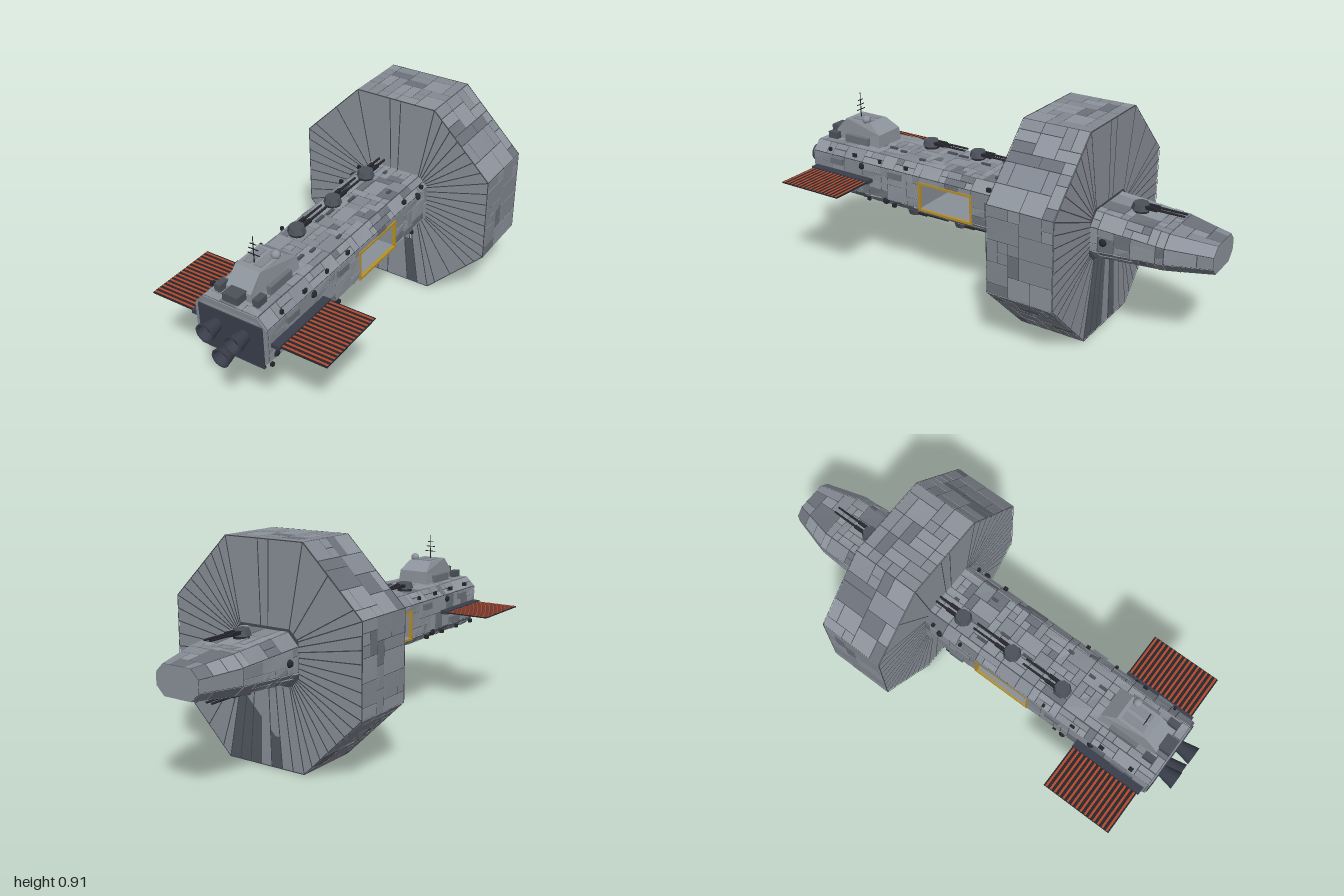
import * as THREE from 'three';

const mat = (name, color, side = THREE.FrontSide) => {
  const m = new THREE.MeshStandardMaterial({ color, side, flatShading: true });
  m.name = name;
  return m;
};
const V = (x, y, z) => new THREE.Vector3(x, y, z);
const lerp = (a, b, t) => a.clone().lerp(b, t);

export function createModel() {
  const model = new THREE.Group();
  model.name = 'spaceship';
  const M = {
    light: mat('light plating', 0x8e949d),
    mid: mat('mid plating', 0x848a93),
    dark: mat('dark plating', 0x6d727b),
    seam: mat('seam grey', 0x43474f, THREE.DoubleSide),
    disc: mat('disc grey', 0x8b9199, THREE.DoubleSide),
    gun: mat('gunmetal', 0x4d525b),
    engine: mat('engine blue grey', 0x3a3f4c, THREE.DoubleSide),
    black: mat('near black', 0x25272d),
    orange: mat('solar orange', 0xb8492a),
    yellow: mat('hangar yellow', 0xb8922a),
  };
  let seed = 11;
  const rnd = () => (seed = (seed * 16807) % 2147483647) / 2147483647;

  const add = (name, geo, m, x = 0, y = 0, z = 0, parent = model) => {
    const mesh = new THREE.Mesh(geo, m);
    mesh.name = name;
    mesh.position.set(x, y, z);
    parent.add(mesh);
    return mesh;
  };
  const box = (name, w, h, d, m, x, y, z, parent) => add(name, new THREE.BoxGeometry(w, h, d), m, x, y, z, parent);

  // Triangle collector for quads
  const quad = (out, a, b, c, d) => { for (const p of [a, b, c, a, c, d]) out.push(p.x, p.y, p.z); };
  const soup = (name, pos, m) => {
    const g = new THREE.BufferGeometry();
    g.setAttribute('position', new THREE.Float32BufferAttribute(pos, 3));
    g.computeVertexNormals();
    return add(name, g, m);
  };

  // Covers a quad with raised plates of random size, leaving seams between them
  const plates = (tones, a, b, c, d, cell = 0.036, maxH = 0.005) => {
    const lu = a.distanceTo(b), lv = a.distanceTo(d);
    const nu = Math.max(1, Math.round(lu / cell)), nv = Math.max(1, Math.round(lv / cell));
    const n = lerp(b, c, 0.5).sub(a).cross(lerp(d, c, 0.5).sub(a)).normalize();
    const used = new Set();
    const at = (u, v) => lerp(lerp(a, b, u), lerp(d, c, u), v);
    for (let j = 0; j < nv; j++) for (let i = 0; i < nu; i++) {
      if (used.has(i + j * nu)) continue;
      let w = 1;
      const want = 1 + Math.floor(rnd() * 3), h = Math.min(nv - j, 1 + Math.floor(rnd() * 2));
      while (w < want && i + w < nu && !used.has(i + w + j * nu)) w++;
      for (let q = 0; q < h; q++) for (let p = 0; p < w; p++) used.add(i + p + (j + q) * nu);
      const gu = 0.0017 / lu, gv = 0.0017 / lv, r = rnd();
      const u0 = i / nu + gu, u1 = (i + w) / nu - gu, v0 = j / nv + gv, v1 = (j + h) / nv - gv;
      const low = [at(u0, v0), at(u1, v0), at(u1, v1), at(u0, v1)];
      const up = low.map((p) => p.clone().addScaledVector(n, 0.0015 + rnd() * rnd() * maxH));
      const out = tones[r < 0.5 ? 0 : r < 0.87 ? 1 : 2];
      quad(out, ...up);
      for (let k = 0; k < 4; k++) quad(out, low[k], low[(k + 1) % 4], up[(k + 1) % 4], up[k]);
    }
  };
  const platesDone = (name, t) => ['light', 'mid', 'dark'].forEach((k, i) => soup(name + ' ' + k, t[i], M[k]));

  // Eight-sided cross-section with cut corners, starting at the lower +x corner
  const section = (z, hx, y0, y1, c, cy = c) => [
    V(hx, y0 + cy, z), V(hx, y1 - cy, z), V(hx - c, y1, z), V(-hx + c, y1, z),
    V(-hx, y1 - cy, z), V(-hx, y0 + cy, z), V(-hx + c, y0, z), V(hx - c, y0, z)];
  const sideQuad = (f, b, i) => [f[i], b[i], b[(i + 1) % 8], f[(i + 1) % 8]];
  const cap = (out, s, flip) => {
    for (let i = 1; i < 7; i++) for (const p of flip ? [s[0], s[i + 1], s[i]] : [s[0], s[i], s[i + 1]]) out.push(p.x, p.y, p.z);
  };

  // Hull, with an open hangar through the middle and a tapering nose
  const body = (z) => section(z, 0.163, 0.345, 0.575, 0.042);
  const secs = [body(0.92), body(0.32), body(0.05), body(-0.51),
    section(-0.511, 0.16, 0.362, 0.562, 0.05), section(-0.82, 0.15, 0.385, 0.54, 0.045), section(-1, 0.1, 0.402, 0.52, 0.035)];
  const shell = [], hullTones = [[], [], []], noseCap = [];
  const holeLow = 0.387, holeHigh = 0.505;
  for (let s = 0; s < secs.length - 1; s++) for (let i = 0; i < 8; i++) {
    const q = sideQuad(secs[s], secs[s + 1], i);
    if (s === 1 && i % 4 === 0) q.forEach((p, k) => { q[k] = p.clone(); if (p.y < 0.46) q[k].y = holeHigh; });
    quad(shell, ...q);
    if (s !== 3) plates(hullTones, ...q, s === 5 ? 0.06 : 0.036, s === 5 ? 0.001 : 0.006);
  }
  cap(shell, secs[0], false);
  cap(noseCap, secs[6], true);
  soup('hull shell', shell, M.seam);
  platesDone('hull plating', hullTones);
  soup('nose cap', noseCap, M.light);

  // Hangar lining and yellow frames
  const lining = [];
  const hx = 0.16;
  for (const y of [holeLow, holeHigh]) quad(lining, V(-hx, y, 0.32), V(hx, y, 0.32), V(hx, y, 0.05), V(-hx, y, 0.05));
  for (const z of [0.05, 0.32]) quad(lining, V(-hx, holeLow, z), V(hx, holeLow, z), V(hx, holeHigh, z), V(-hx, holeHigh, z));
  soup('hangar lining', lining, M.disc);
  for (const s of [-1, 1]) {
    const x = s * (s > 0 ? 0.163 : 0.16);
    for (const y of [0.382, 0.507]) box('hangar frame rail', 0.014, 0.01, 0.28, M.yellow, x, y, 0.185);
    for (const z of [0.05, 0.32]) box('hangar frame post', 0.014, 0.13, 0.009, M.yellow, x, 0.445, z);
  }

  // Octagonal ring: plated rim, panelled discs with ribs
  const ring = (z) => section(z, 0.452, 0.008, 0.912, 0.265);
  const ringF = ring(-0.222), ringB = ring(-0.513);
  const rim = [], rimTones = [[], [], []], discs = [], ribs = [];
  for (let i = 0; i < 8; i++) {
    const q = sideQuad(ringF, ringB, i);
    quad(rim, ...q);
    plates(rimTones, ...q, 0.045, 0.002);
  }
  soup('ring rim', rim, M.seam);
  platesDone('ring plating', rimTones);
  const strip = (a, b, w, z) => {
    const n = V(b.y - a.y, a.x - b.x, 0).normalize().multiplyScalar(w / 2);
    const p = [a.clone().add(n), b.clone().add(n), b.clone().sub(n), a.clone().sub(n)];
    p.forEach((v) => { v.z = z; });
    quad(ribs, ...p);
  };
  const skipRib = { 2: [1, 2, 5, 6], 3: [1, 2, 4, 5], 7: [2, 4], 6: [4] };
  [[ringF, 1, [5]], [ringB, -1, [2, 4, 5, 6]]].forEach(([outer, dir, gaps]) => {
    const z = outer[0].z, inner = body(z);
    for (let i = 0; i < 8; i++) {
      const j = (i + 1) % 8;
      for (let k = 0; k < 7; k++) {
        const t0 = k / 7, t1 = (k + 1) / 7;
        const a = lerp(inner[i], inner[j], t0), b = lerp(outer[i], outer[j], t0);
        if (!(i === 6 && gaps.includes(k))) quad(discs, a, b, lerp(outer[i], outer[j], t1), lerp(inner[i], inner[j], t1));
        if (!(skipRib[i] || []).includes(k)) strip(a, b, 0.0045, z + dir * 0.003);
      }
      strip(outer[i], outer[j], 0.004, z + dir * 0.003);
    }
  });
  soup('ring disc panels', discs, M.disc);
  soup('ring ribs', ribs, M.seam);

  // Engine plate and three bells
  box('stern collar', 0.25, 0.2, 0.008, M.light, 0, 0.455, 0.922);
  const collar = new THREE.Shape(section(0, 0.163, 0.345, 0.575, 0.042).map((p) => new THREE.Vector2(p.x, p.y)));
  add('stern frame', new THREE.ExtrudeGeometry(collar, { depth: 0.006, bevelEnabled: false }), M.mid, 0, 0, 0.92);
  box('engine plate', 0.292, 0.187, 0.01, M.engine, 0, 0.447, 0.926);
  const bell = [[0.026, 0], [0.03, 0.02], [0.04, 0.07], [0.033, 0.07], [0.026, 0.035]].map(([r, y]) => new THREE.Vector2(r, y));
  for (const [x, y] of [[-0.065, 0.476], [0.062, 0.476], [0, 0.388]]) {
    add('engine bell', new THREE.LatheGeometry(bell, 20), M.engine, x, y, 0.93).rotation.x = Math.PI / 2;
    add('engine throat', new THREE.CircleGeometry(0.028, 20), M.black, x, y, 0.962);
  }

  // Bridge tower: side profile extruded and narrowed toward the roof
  const prof = [[0.87, 0.57], [0.87, 0.615], [0.81, 0.677], [0.67, 0.677], [0.61, 0.635], [0.605, 0.57]];
  const tower = new THREE.ExtrudeGeometry(new THREE.Shape(prof.map(([z, y]) => new THREE.Vector2(z, y))), { depth: 0.16, bevelEnabled: false });
  tower.translate(0, 0, -0.08).rotateY(-Math.PI / 2);
  const tp = tower.attributes.position;
  for (let i = 0; i < tp.count; i++) {
    const y = tp.getY(i), z = tp.getZ(i);
    tp.setX(i, tp.getX(i) * (1 - Math.max(0, y - 0.61) * 4.5) * (z > 0.85 ? 0.72 : 1));
  }
  tower.computeVertexNormals();
  add('bridge tower', tower, M.light);
  for (const s of [-1, 1]) {
    box('bridge side block', 0.02, 0.035, 0.13, M.dark, s * 0.079, 0.595, 0.73);
    box('bridge roof plate', 0.034, 0.004, 0.1, M.mid, s * 0.025, 0.678, 0.735);
    box('stern housing', 0.028, 0.03, 0.05, M.gun, s * 0.087, 0.598, 0.86);
  }
  box('bridge window', 0.07, 0.008, 0.004, M.black, 0, 0.604, 0.87);
  box('stern turret', 0.07, 0.033, 0.06, M.gun, 0, 0.605, 0.89);
  add('radar dome', new THREE.SphereGeometry(0.019, 16, 12), M.light, 0.045, 0.687, 0.7);
  add('antenna mast', new THREE.CylinderGeometry(0.0015, 0.0025, 0.115, 6), M.black, 0, 0.733, 0.77);
  [[0.757, 0.03], [0.735, 0.045], [0.712, 0.055]].forEach(([y, w]) => box('antenna bar', w, 0.003, 0.003, M.black, 0, y, 0.77));

  // Twin-barrel turrets, dir = 1 above the hull and -1 below
  const turret = (x, y, z, dir, k = 1) => {
    const g = new THREE.Group();
    g.name = 'gun turret';
    add('turret base', new THREE.CylinderGeometry(0.03, 0.034, 0.014, 12), M.black, 0, 0.006, 0, g);
    add('turret house', new THREE.CylinderGeometry(0.032, 0.04, 0.026, 8).rotateY(Math.PI / 8), M.gun, 0, 0.025, 0, g);
    for (const s of [-1, 1]) {
      add('gun barrel', new THREE.CylinderGeometry(0.0045, 0.006, 0.17, 8).rotateX(-Math.PI / 2), M.black, s * 0.013, 0.027, -0.105, g);
      box('barrel sleeve', 0.014, 0.014, 0.05, M.black, s * 0.013, 0.027, -0.05, g);
    }
    g.position.set(x, y, z);
    g.scale.setScalar(k);
    if (dir < 0) g.rotation.z = Math.PI;
    model.add(g);
  };
  for (const z of [0.42, 0.165, -0.09]) {
    turret(-0.066, 0.577, z, 1);
    turret(0.066, 0.343, z, -1);
  }
  turret(0, 0.343, 0.63, -1);
  turret(0, 0.553, -0.65, 1);
  turret(0, 0.373, -0.65, -1);

  // Solar wings with orange cell strips on both faces
  for (const s of [-1, 1]) {
    box('wing mount', 0.036, 0.016, 0.33, M.engine, s * 0.184, 0.46, 0.745);
    box('wing panel', 0.2, 0.005, 0.32, M.black, s * 0.302, 0.46, 0.742);
    for (let i = 0; i < 15; i++) for (const f of [-1, 1])
      box('solar strip', 0.196, 0.001, 0.009, M.orange, s * 0.302, 0.46 + f * 0.003, 0.593 + i * 0.0213);
  }

  // Side sensors, pods and small fittings
  for (const s of [-1, 1]) {
    for (const [z, y] of [[0.88, 0.405], [0.64, 0.515], [0.51, 0.378], [-0.14, 0.53], [-0.57, 0.46]])
      add('side sensor', new THREE.SphereGeometry(0.016, 10, 8), M.black, s * 0.162, y, z);
    for (const [z, y] of [[0.45, 0.51], [0.78, 0.51], [0.7, 0.41], [-0.05, 0.41]]) box('side pod', 0.018, 0.028, 0.07, M.dark, s * 0.168, y, z);
    for (let i = 0; i < 16; i++) {
      const z = 0.9 - i * 0.072;
      if (z < 0.34 && z > 0.03) continue;
      box('edge fitting', 0.008 + rnd() * 0.008, 0.016, 0.01 + rnd() * 0.012, M.black, s * 0.158, i % 2 ? 0.555 : 0.362, z);
    }
  }
  for (let i = 0; i < 12; i++) {
    box('deck fitting', 0.012, 0.012, 0.02 + rnd() * 0.03, M.gun, (rnd() - 0.5) * 0.2, 0.58, 0.55 - i * 0.065);
    box('keel fitting', 0.02, 0.012, 0.02 + rnd() * 0.03, M.gun, (rnd() - 0.5) * 0.2, 0.341, 0.85 - i * 0.085);
  }
  return model;
}
